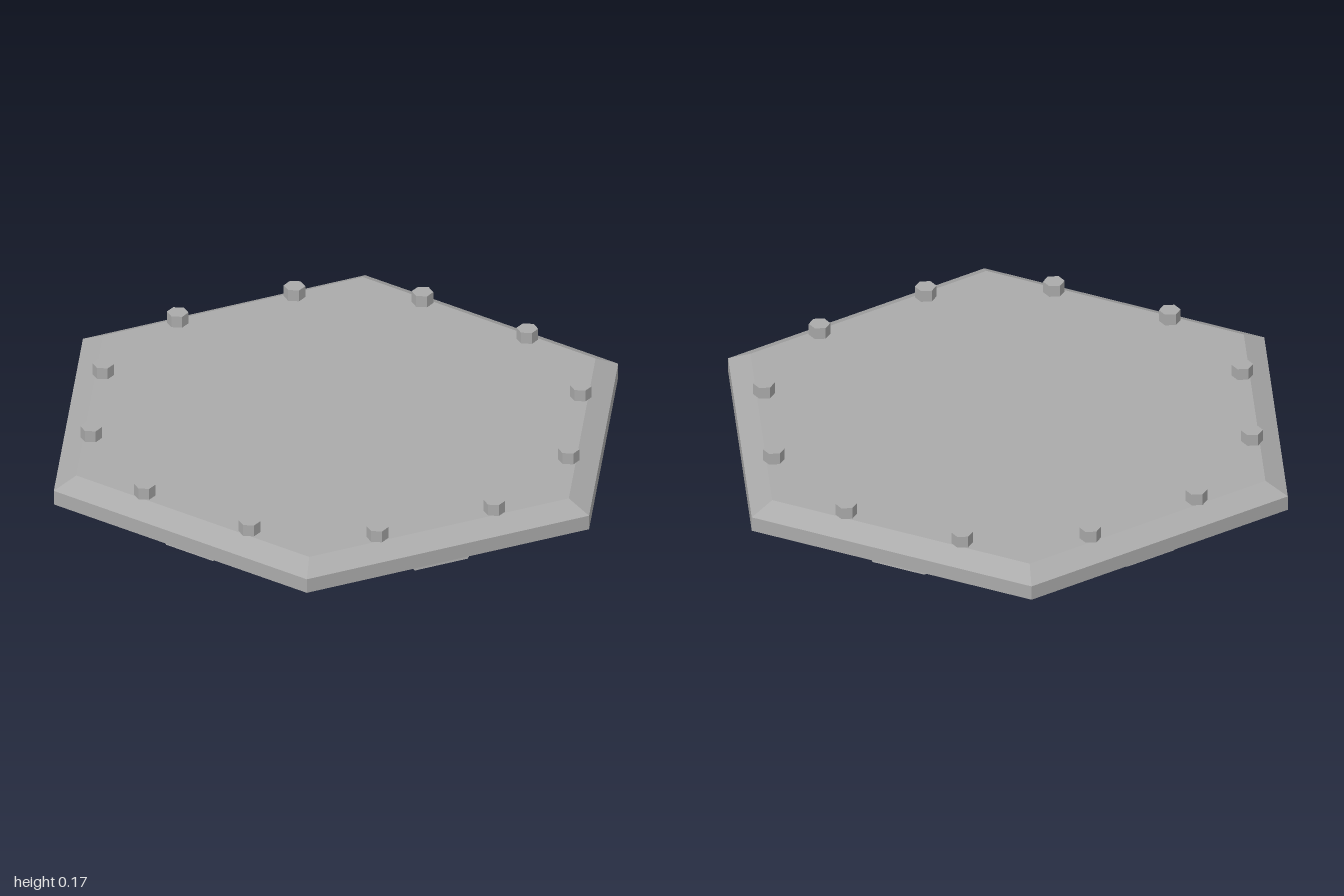
import * as THREE from 'three';

const PLATE_BOTTOM = 0.04, PLATE_TOP = 0.128;

// Tapered foot: wide and outward at the plate, narrower at the ground
function footGeometry() {
  const geo = new THREE.BoxGeometry(1, 1, 1);
  const pos = geo.attributes.position;
  for (let i = 0; i < pos.count; i++) {
    const outer = pos.getZ(i) > 0, top = pos.getY(i) > 0;
    const half = outer ? (top ? 0.13 : 0.093) : (top ? 0.093 : 0.062);
    const radius = outer ? (top ? 0.808 : 0.814) : (top ? 0.57 : 0.59);
    pos.setXYZ(i, Math.sign(pos.getX(i)) * half, top ? PLATE_BOTTOM : 0, radius);
  }
  geo.computeVertexNormals();
  return geo;
}

export function createModel() {
  const model = new THREE.Group();
  model.name = 'hexPlate';
  const metal = new THREE.MeshStandardMaterial({ color: 0xaaaaaa, flatShading: true });
  metal.name = 'grey metal';

  const add = (name, geo, x = 0, y = 0, z = 0, turn = 0) => {
    const mesh = new THREE.Mesh(geo, metal);
    mesh.name = name;
    mesh.position.set(x, y, z);
    mesh.rotation.y = turn;
    model.add(mesh);
  };

  // Six-sided plate with a bevelled upper rim
  const profile = [[0, PLATE_BOTTOM], [1, PLATE_BOTTOM], [1, 0.09], [0.92, PLATE_TOP], [0, PLATE_TOP]]
    .map(([r, y]) => new THREE.Vector2(r, y));
  add('plate', new THREE.LatheGeometry(profile, 6));

  // Raised hexagon in the middle of the underside
  add('centreBoss', new THREE.CylinderGeometry(0.3, 0.285, 0.025, 6), 0, PLATE_BOTTOM - 0.0125, 0);

  // Ring of feet, with bolts and pins halfway between them
  const foot = footGeometry();
  const bolt = new THREE.CylinderGeometry(0.035, 0.035, 0.04, 6);
  const pin = new THREE.CylinderGeometry(0.012, 0.012, 0.024, 6);
  for (let i = 0; i < 12; i++) {
    const a = i * Math.PI / 6, b = a + Math.PI / 12;
    add('foot', foot, 0, 0, 0, a);
    add('boltHead', bolt, 0.8 * Math.sin(b), PLATE_TOP + 0.02, 0.8 * Math.cos(b), Math.PI / 6);
    add('boltEnd', pin, 0.7 * Math.sin(b), PLATE_BOTTOM - 0.012, 0.7 * Math.cos(b), Math.PI / 6);
  }
  return model;
}
